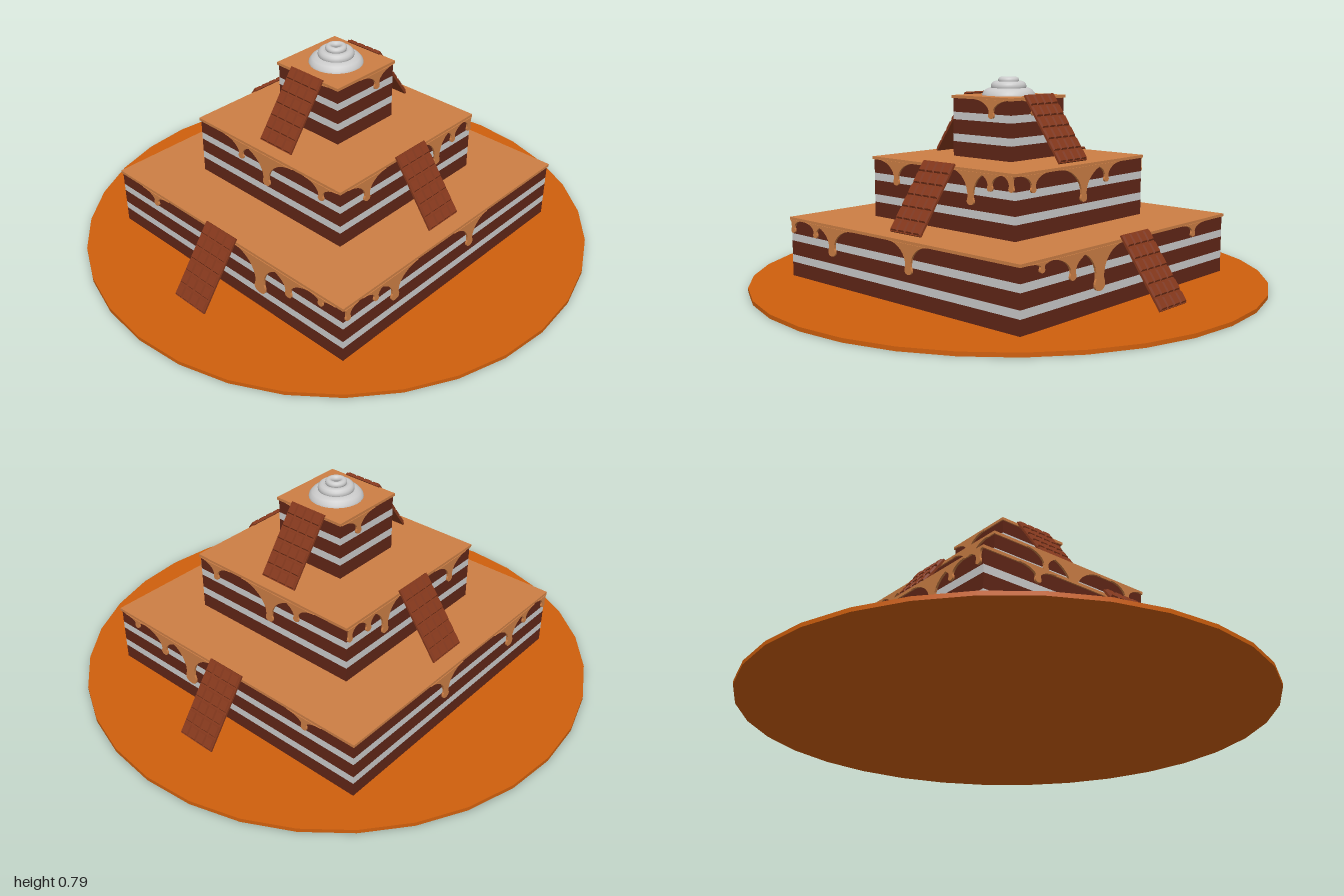
import * as THREE from 'three';

const mat = (color, flatShading = false) => new THREE.MeshStandardMaterial({ color, flatShading });
const plateMat = mat(0xcf5f0d), cakeMat = mat(0x612617), creamMat = mat(0xcccccc);
const caramelMat = mat(0xcd7f45), chocolateMat = mat(0x85381c, true);

function add(parent, name, geometry, material, x = 0, y = 0, z = 0) {
  const mesh = new THREE.Mesh(geometry, material);
  mesh.name = name;
  mesh.position.set(x, y, z);
  parent.add(mesh);
  return mesh;
}

// One drip of caramel: flared root, narrow neck, round bulb; the root is clipped at the cake corner
function dripGeometry([c, len, flare, w], half) {
  const l = Math.max(c - flare, -half), r = Math.min(c + flare, half);
  const neck = -len + w * 1.6;
  const s = new THREE.Shape();
  s.moveTo(l, 0);
  s.bezierCurveTo(l + (c - l) * 0.5, 0, c - w * 0.6, neck * 0.5, c - w * 0.75, neck);
  s.bezierCurveTo(c - w * 1.3, -len + w * 0.5, c - w * 0.8, -len, c, -len);
  s.bezierCurveTo(c + w * 0.8, -len, c + w * 1.3, -len + w * 0.5, c + w * 0.75, neck);
  s.bezierCurveTo(c + w * 0.6, neck * 0.5, r - (r - c) * 0.5, 0, r, 0);
  s.closePath();
  const g = new THREE.ExtrudeGeometry(s, { depth: 0.012, bevelEnabled: false, curveSegments: 8 });
  return g.translate(0, 0, -0.006);
}

// Square cake tier: alternating sponge and cream, caramel sheet, drips on all four sides
function makeTier({ name, half, base, front, side }) {
  const tier = new THREE.Group();
  tier.name = name;
  const levels = [0, 0.057, 0.087, 0.142, 0.171, 0.225];
  for (let i = 0; i < 5; i++) {
    const h = levels[i + 1] - levels[i], w = 2 * half - 0.004;
    add(tier, i % 2 ? 'creamLayer' : 'spongeLayer', new THREE.BoxGeometry(w, h, w),
      i % 2 ? creamMat : cakeMat, 0, base + levels[i] + h / 2, 0);
  }
  const top = base + 0.225;
  add(tier, 'caramelTop', new THREE.BoxGeometry(2 * half + 0.006, 0.011, 2 * half + 0.006), caramelMat, 0, top + 0.0045, 0);
  for (const s of [1, -1]) {
    for (const d of front) add(tier, 'caramelDrip', dripGeometry(d, half), caramelMat, 0, top, s * half);
    for (const d of side) {
      add(tier, 'caramelDrip', dripGeometry(d, half), caramelMat, s * half, top, 0).rotation.y = -Math.PI / 2;
    }
  }
  return tier;
}

// Chocolate bar leaning on a cake side: thin slab with 4 x 6 bevelled squares
function makeBar(out, y, turn) {
  const holder = new THREE.Group(), bar = new THREE.Group();
  holder.name = 'chocolateBar';
  const W = 0.16, L = 0.294, cols = 4, rows = 6;
  add(bar, 'barSlab', new THREE.BoxGeometry(W, L, 0.008), chocolateMat);
  const square = new THREE.CylinderGeometry(0.72 * Math.SQRT1_2, 0.9 * Math.SQRT1_2, 1, 4);
  square.rotateY(Math.PI / 4).rotateX(Math.PI / 2).scale(W / cols, L / rows, 0.008);
  for (let i = 0; i < cols; i++) {
    for (let j = 0; j < rows; j++) {
      add(bar, 'barSquare', square, chocolateMat,
        (i + 0.5) * W / cols - W / 2, (j + 0.5) * L / rows - L / 2, 0.007);
    }
  }
  bar.rotation.x = -Math.atan2(0.17, 0.24);
  bar.position.set(0, y, out);
  holder.add(bar);
  holder.rotation.y = turn;
  return holder;
}

export function createModel() {
  const model = new THREE.Group();
  model.name = 'tieredCake';

  add(model, 'plate', new THREE.CylinderGeometry(1, 1, 0.015, 32), plateMat, 0, 0.0075, 0);

  // Drips: [position along the side, length, root half-width, neck half-width]
  const tiers = [
    { name: 'bottomTier', half: 0.6, base: 0.013,
      front: [[-0.58, 0.05, 0.05, 0.012], [-0.44, 0.052, 0.07, 0.012], [-0.34, 0.108, 0.12, 0.02], [0.085, 0.108, 0.1, 0.018]],
      side: [[0.5, 0.035, 0.07, 0.012], [0.345, 0.088, 0.12, 0.016], [0.2, 0.15, 0.13, 0.028], [-0.38, 0.05, 0.08, 0.013]] },
    { name: 'middleTier', half: 0.37, base: 0.249,
      front: [[-0.235, 0.09, 0.1, 0.015], [0.16, 0.12, 0.09, 0.017], [0.255, 0.062, 0.07, 0.013], [0.355, 0.055, 0.05, 0.012]],
      side: [[0.28, 0.065, 0.08, 0.013], [0, 0.13, 0.14, 0.018], [-0.135, 0.07, 0.09, 0.013]] },
    { name: 'topTier', half: 0.153, base: 0.485,
      front: [[0.055, 0.07, 0.095, 0.014]],
      side: [[0.03, 0.06, 0.08, 0.013]] },
  ];
  tiers.forEach(t => model.add(makeTier(t)));

  // Leaning bars: bottom and top tiers at the sides, middle tier at front and back
  for (const s of [1, -1]) {
    model.add(makeBar(0.685, 0.14, s * Math.PI / 2));
    model.add(makeBar(0.455, 0.372, s > 0 ? 0 : Math.PI));
    model.add(makeBar(0.237, 0.607, s * Math.PI / 2));
  }

  // Whipped cream swirl of three stacked rings
  for (const [R, r, y] of [[0.068, 0.037, 0.712], [0.049, 0.02, 0.754], [0.028, 0.013, 0.777]]) {
    add(model, 'creamRing', new THREE.TorusGeometry(R, r, 14, 36).rotateX(Math.PI / 2), creamMat, 0, y, 0);
  }
  return model;
}
